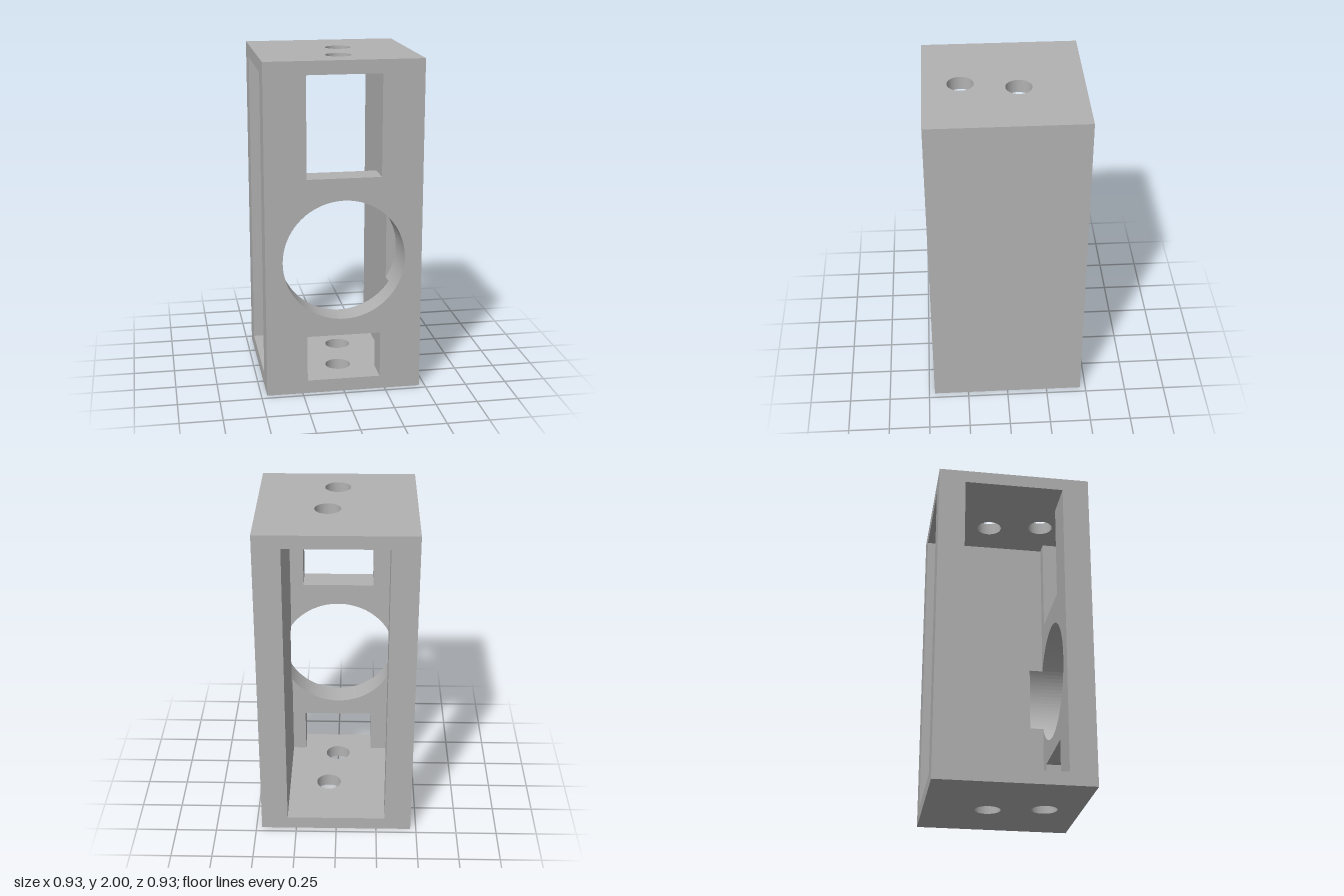
import * as THREE from 'three';

const H = 0.465;            // half width and half depth
const C = 0.303;            // half size of the inner cavity
const T = 0.08;             // floor and ceiling thickness
const TOP = 2 - T;
const W = 0.22;             // half width of the front windows
const CY = 0.825, R = 0.363; // round front opening
const POCKET = 0.22;        // z where the round cut ends

export function createModel() {
  const model = new THREE.Group();
  const grey = new THREE.MeshStandardMaterial({ color: 0xb2b2b2 });

  const add = (name, geometry) => {
    const mesh = new THREE.Mesh(geometry, grey);
    mesh.name = name;
    model.add(mesh);
    return mesh;
  };
  const extrude = (shape, depth) =>
    new THREE.ExtrudeGeometry(shape, { depth, bevelEnabled: false, curveSegments: 48 });
  const polygon = (points) => new THREE.Shape(points.map(([x, y]) => new THREE.Vector2(x, y)));
  const circle = (x, y, r) => new THREE.Path().absarc(x, y, r, 0, Math.PI * 2, true);
  const box = (name, x0, x1, y0, y1, z0, z1) =>
    add(name, new THREE.BoxGeometry(x1 - x0, y1 - y0, z1 - z0))
      .position.set((x0 + x1) / 2, (y0 + y1) / 2, (z0 + z1) / 2);

  // Floor and ceiling plates, each with the same two drilled holes
  for (const [name, y] of [['floorPlate', 0], ['ceilingPlate', TOP]]) {
    const plate = polygon([[-H, -H], [H, -H], [H, H], [-H, H]]);
    plate.holes.push(circle(0.054, 0.085, 0.077), circle(0, -0.245, 0.077));
    add(name, extrude(plate, T).rotateX(-Math.PI / 2)).position.y = y;
  }

  // Front panel: windows notched at top and bottom, round opening between
  const front = polygon([
    [-H, T], [-W, T], [-W, 0.36], [W, 0.36], [W, T], [H, T],
    [H, TOP], [W, TOP], [W, 1.32], [-W, 1.32], [-W, TOP], [-H, TOP],
  ]);
  front.holes.push(circle(0, CY, R));
  add('frontPanel', extrude(front, H - C)).position.z = C;

  // Solid side wall, whose front strip carries the end of the round cut
  box('sideWall', C, H, T, TOP, -H, POCKET);
  const a = Math.acos(C / R);
  const strip = new THREE.Shape();
  strip.moveTo(C, T);
  strip.lineTo(H, T);
  strip.lineTo(H, TOP);
  strip.lineTo(C, TOP);
  strip.lineTo(C, CY + R * Math.sin(a));
  strip.absarc(0, CY, R, a, -a, true);
  strip.closePath();
  add('sideWallFrontStrip', extrude(strip, C - POCKET)).position.z = POCKET;

  // Corner post between the open side and the open back
  box('cornerPost', -H, -C, T, TOP, -H, -C);

  return model;
}
